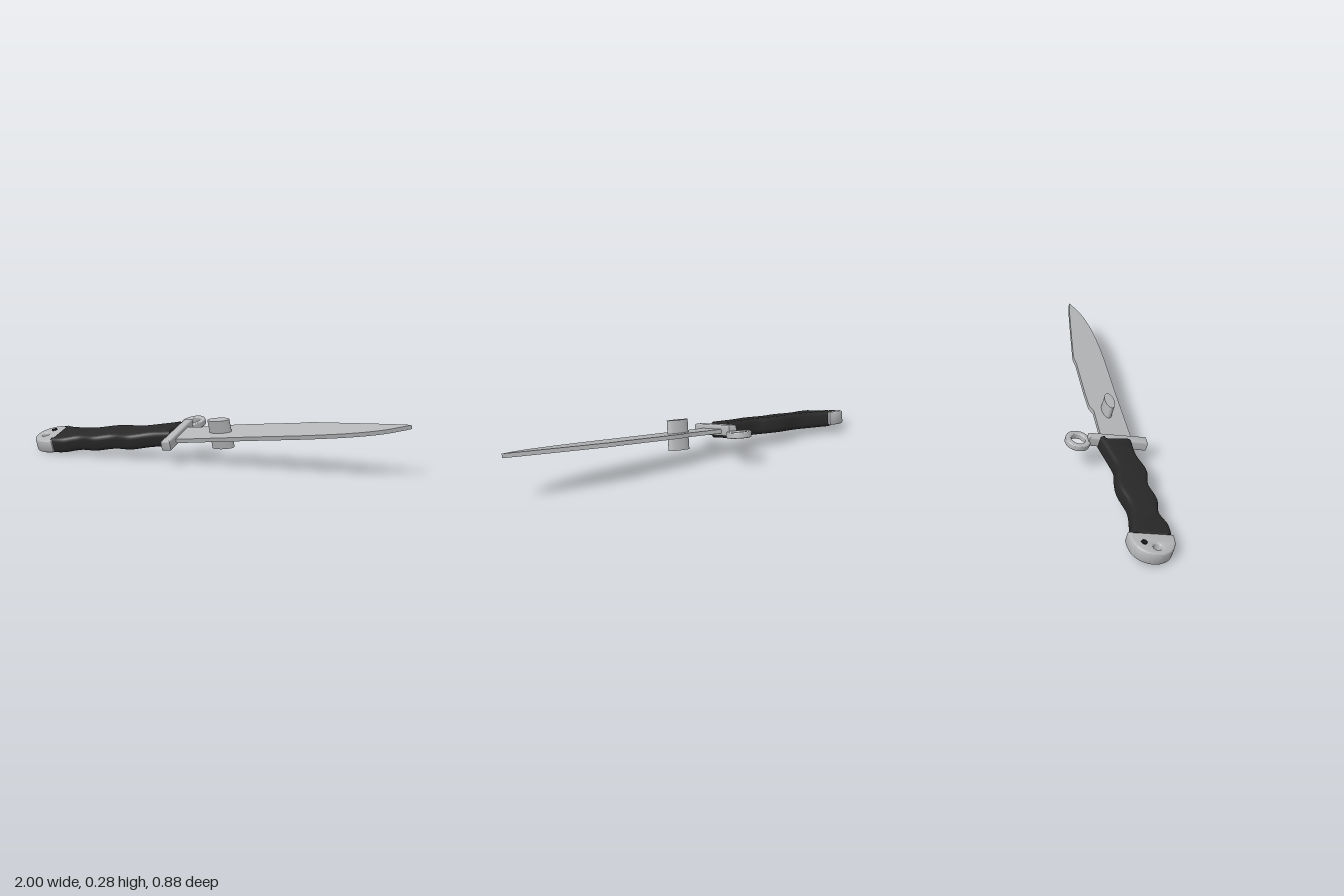
import * as THREE from 'three';
import { toCreasedNormals } from 'three/addons/utils/BufferGeometryUtils.js';

const steel = new THREE.MeshStandardMaterial({ color: 0xb4b5b7 });
steel.name = 'steel';
const grip = new THREE.MeshStandardMaterial({ color: 0x282828 });
grip.name = 'black grip';
const dark = new THREE.MeshStandardMaterial({ color: 0x161616 });
dark.name = 'dark screw';

const pts = (list) => list.map(([u, v]) => new THREE.Vector2(u, v));

// Plate lying flat: outline is (length, width), thickness is centred on y = level
function plate(name, shape, thickness, bevel, material, level = 0) {
  const geo = new THREE.ExtrudeGeometry(shape, {
    depth: thickness - 2 * bevel, curveSegments: 20, bevelEnabled: bevel > 0,
    bevelThickness: bevel, bevelSize: bevel, bevelOffset: -bevel, bevelSegments: 4,
  });
  geo.translate(0, 0, -(thickness - 2 * bevel) / 2);
  geo.rotateX(-Math.PI / 2);
  const mesh = new THREE.Mesh(toCreasedNormals(geo, 0.6), material);
  mesh.name = name;
  mesh.position.y = level;
  return mesh;
}

function circleHole(u, v, r) {
  return new THREE.Path().absarc(u, v, r, 0, Math.PI * 2, true);
}

function bladeShape() {
  const s = new THREE.Shape();
  s.moveTo(-0.19, -0.06);
  s.lineTo(-0.146, -0.06);
  // cutting edge sweeping up to the point
  s.splineThru(pts([[0.24, -0.05], [0.56, -0.045], [0.79, -0.029], [0.95, 0.001], [1.04, 0.038], [1.093, 0.066]]));
  // clipped back, then the raised spine with its notch
  s.splineThru(pts([[1.008, 0.08], [0.815, 0.104], [0.531, 0.137]]));
  s.lineTo(0.471, 0.13);
  s.lineTo(0.195, 0.129);
  s.lineTo(0.086, 0.125);
  s.lineTo(0.043, 0.107);
  s.lineTo(-0.19, 0.108);
  s.closePath();
  return s;
}

function gripShape() {
  const s = new THREE.Shape();
  s.moveTo(-0.93, -0.1);
  s.splineThru(pts([[-0.85, -0.102], [-0.763, -0.073], [-0.661, -0.087], [-0.554, -0.064],
    [-0.446, -0.08], [-0.33, -0.049], [-0.21, -0.043]]));
  s.lineTo(-0.21, 0.128);
  s.splineThru(pts([[-0.33, 0.1], [-0.424, 0.083], [-0.504, 0.095], [-0.59, 0.098],
    [-0.716, 0.071], [-0.825, 0.082], [-0.93, 0.105]]));
  s.closePath();
  return s;
}

function pommelShape() {
  const s = new THREE.Shape();
  s.moveTo(-0.915, 0.119);
  s.lineTo(-0.95, 0.119);
  s.bezierCurveTo(-1.03, 0.112, -1.065, 0.06, -1.066, 0.005);
  s.bezierCurveTo(-1.065, -0.06, -1.02, -0.108, -0.945, -0.112);
  s.lineTo(-0.915, -0.112);
  s.closePath();
  s.holes.push(circleHole(-1.009, -0.008, 0.02));
  return s;
}

function guardBarShape() {
  const s = new THREE.Shape();
  s.moveTo(-0.22, -0.136);
  s.lineTo(-0.168, -0.136);
  s.lineTo(-0.172, 0.18);
  s.lineTo(-0.218, 0.18);
  s.closePath();
  return s;
}

function guardRingShape() {
  const s = new THREE.Shape();
  s.absarc(-0.195, 0.232, 0.067, 0, Math.PI * 2, false);
  s.holes.push(circleHole(-0.195, 0.232, 0.037));
  return s;
}

export function createModel() {
  const knife = new THREE.Group();
  knife.name = 'knife';

  knife.add(plate('blade', bladeShape(), 0.022, 0, steel));
  knife.add(plate('grip', gripShape(), 0.088, 0.024, grip));
  knife.add(plate('pommel', pommelShape(), 0.072, 0.012, steel));
  knife.add(plate('guardBar', guardBarShape(), 0.058, 0.01, steel, 0.004));
  knife.add(plate('guardRing', guardRingShape(), 0.034, 0.007, steel, -0.014));

  // Oval stud passing through the blade
  const stud = new THREE.Mesh(new THREE.CylinderGeometry(1, 1, 0.16, 40), steel);
  stud.name = 'bladeStud';
  stud.scale.set(0.0635, 1, 0.027);
  stud.position.set(0.056, 0, -0.034);
  knife.add(stud);

  // Pommel screw
  const screw = new THREE.Mesh(new THREE.CylinderGeometry(0.016, 0.016, 0.078, 20), dark);
  screw.name = 'pommelScrew';
  screw.position.set(-0.985, 0, -0.054);
  knife.add(screw);

  // Turned in its own plane, then tipped so the pommel rests low
  knife.rotation.y = THREE.MathUtils.degToRad(21);
  const tilt = new THREE.Group();
  tilt.name = 'tilt';
  tilt.rotation.x = THREE.MathUtils.degToRad(15);
  tilt.position.y = 0.152;
  tilt.add(knife);

  const model = new THREE.Group();
  model.name = 'model';
  model.add(tilt);
  return model;
}
